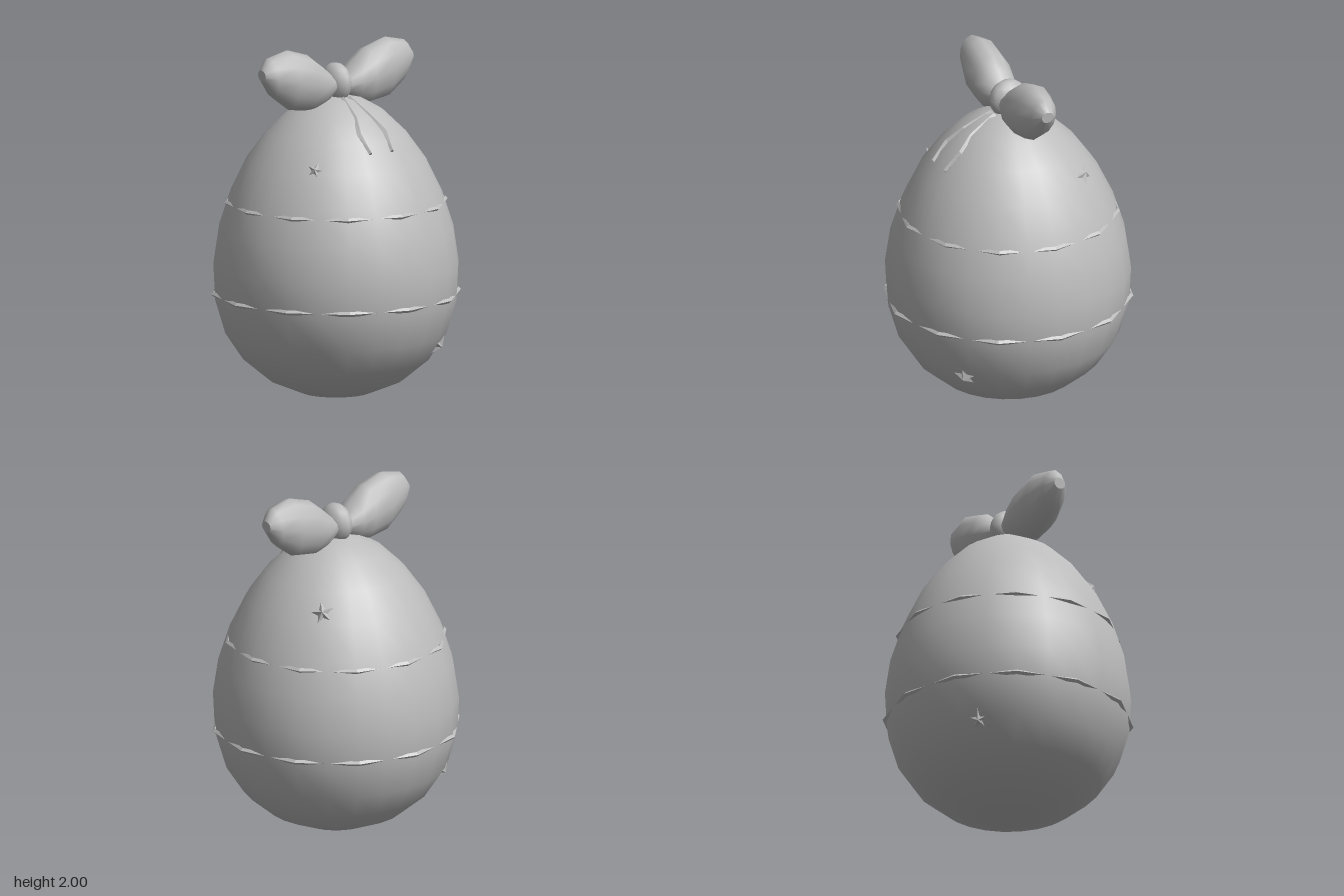
import * as THREE from 'three';

const grey = new THREE.MeshStandardMaterial({ color: 0xbcbcbc });
grey.name = 'plain grey';

function add(parent, name, geometry) {
  const mesh = new THREE.Mesh(geometry, grey);
  mesh.name = name;
  parent.add(mesh);
  return mesh;
}

// Facets every face of a geometry
function facet(geometry) {
  const g = geometry.index ? geometry.toNonIndexed() : geometry;
  g.computeVertexNormals();
  return g;
}

// Skin over rings of Vector3 that run counter-clockwise about the travel direction, flat caps at both ends
function loft(rings) {
  const n = rings[0].length, pos = [], index = [];
  rings.forEach(r => r.forEach(p => pos.push(p.x, p.y, p.z)));
  for (let i = 0; i < rings.length - 1; i++) {
    for (let j = 0; j < n; j++) {
      const a = i * n + j, b = i * n + (j + 1) % n;
      index.push(a, b, a + n, b, b + n, a + n);
    }
  }
  [rings[0], rings[rings.length - 1]].forEach((r, end) => {
    const s = pos.length / 3;
    r.forEach(p => pos.push(p.x, p.y, p.z));
    for (let j = 1; j < n - 1; j++) {
      if (end) index.push(s, s + j, s + j + 1);
      else index.push(s, s + j + 1, s + j);
    }
  });
  const g = new THREE.BufferGeometry();
  g.setAttribute('position', new THREE.Float32BufferAttribute(pos, 3));
  g.setIndex(index);
  g.computeVertexNormals();
  return g;
}

// Puffed bow loop: [top x, top y, bottom x, bottom y, half depth]
function bowLoop() {
  const sections = [
    [0.05, 1.83, 0.05, 1.71, 0.08], [0.12, 1.895, 0.12, 1.66, 0.108],
    [0.2, 1.957, 0.2, 1.64, 0.12], [0.34, 2.0, 0.33, 1.66, 0.115],
    [0.47, 1.97, 0.44, 1.74, 0.08], [0.516, 1.905, 0.51, 1.84, 0.036],
  ];
  return loft(sections.map(([tx, ty, bx, by, d]) => {
    const ring = [];
    for (let j = 0; j < 12; j++) {
      const a = j / 12 * Math.PI * 2, k = (1 + Math.cos(a)) / 2;
      ring.push(new THREE.Vector3(bx + (tx - bx) * k, by + (ty - by) * k, d * Math.sin(a)));
    }
    return ring;
  }));
}

// Ribbon tail with a ridged section, lying on the front of the egg
function ribbon(side) {
  const path = [[0.022, 1.705, 0.09, 0.014], [0.05, 1.62, 0.25, 0.014],
    [0.088, 1.545, 0.335, 0.016], [0.074, 1.445, 0.425, 0.011]];
  return facet(loft(path.map(([x, y, z, w]) => [[w, 0], [0, 0.014], [-w, 0], [0, -0.014]]
    .map(([u, v]) => new THREE.Vector3(side * x + u, y + v * 0.8, z + v * 0.6)))));
}

// Five-pointed star with a raised centre, facing +z
function starGeometry() {
  const g = new THREE.ConeGeometry(0.065, 0.03, 10, 1);
  const p = g.attributes.position;
  for (let i = 0; i < p.count; i++) {
    const step = Math.round(Math.atan2(p.getX(i), p.getZ(i)) / (Math.PI / 5));
    if (step % 2 === 0) p.setXYZ(i, p.getX(i) * 0.45, p.getY(i), p.getZ(i) * 0.45);
  }
  g.rotateX(Math.PI / 2);
  return facet(g);
}

export function createModel() {
  const model = new THREE.Group();
  model.name = 'decoratedEgg';

  // Egg body
  const profile = [[0, 0.005], [0.2, 0.03], [0.38, 0.105], [0.52, 0.22], [0.62, 0.37],
    [0.677, 0.56], [0.687, 0.76], [0.657, 0.96], [0.592, 1.16], [0.502, 1.345],
    [0.39, 1.5], [0.265, 1.62], [0.135, 1.695], [0, 1.72]];
  add(model, 'egg', new THREE.LatheGeometry(profile.map(([r, y]) => new THREE.Vector2(r, y)), 24));

  // Twelve-sided bands that surface only at their corners
  [['lowerBand', 0.7, 0.593], ['upperBand', 0.626, 1.11]].forEach(([name, r, y]) => {
    const g = new THREE.TorusGeometry(r - 0.014, 0.014, 4, 12);
    g.rotateX(Math.PI / 2);
    add(model, name, facet(g)).position.y = y;
  });

  // Stars: position, upward tilt, roll
  const star = starGeometry();
  [[-0.375, 1.37, 0.31, 0.55, -0.25], [0.36, 1.41, -0.3, 0.6, 0.25],
    [0.385, 0.31, 0.455, -0.6, 0], [-0.39, 0.345, -0.465, -0.55, 0]].forEach(([x, y, z, tilt, roll]) => {
    const mesh = add(model, 'star', star);
    mesh.position.set(x, y, z);
    mesh.rotation.set(-tilt, Math.atan2(x, z), roll, 'YXZ');
  });

  // Bow with two loops, a knot and two tails
  const bow = new THREE.Group();
  bow.name = 'bow';
  model.add(bow);
  const loop = bowLoop();
  add(bow, 'leftLoop', loop);
  add(bow, 'rightLoop', loop).rotation.y = Math.PI;
  const knot = add(bow, 'knot', new THREE.SphereGeometry(1, 12, 8));
  knot.scale.set(0.074, 0.112, 0.112);
  knot.position.y = 1.78;
  add(bow, 'leftTail', ribbon(1));
  add(bow, 'rightTail', ribbon(-1));

  return model;
}
